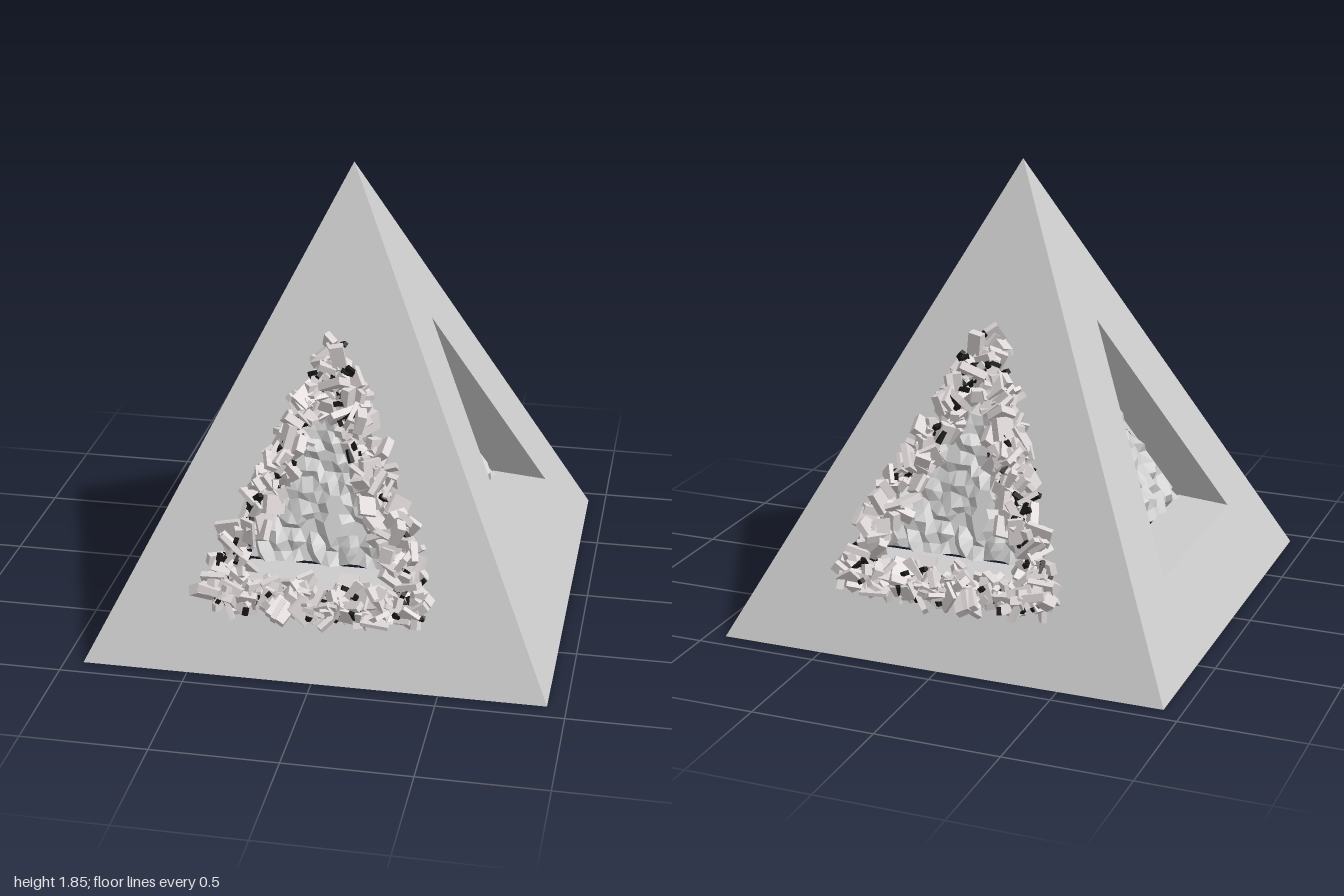
import * as THREE from 'three';
import { mergeGeometries } from 'three/addons/utils/BufferGeometryUtils.js';

const BASE = 0.925, HEIGHT = 1.85;
const HOLE = { half: 0.44, bottom: 0.32, top: 1.21 };   // opening in each face
const PANEL = { half: 0.485, bottom: 0.32, top: 1.29, inset: 0.235 }; // rough inner wall

const faceZ = y => BASE * (1 - y / HEIGHT);

function seeded(seed) {
  return () => {
    seed = (seed + 0x6d2b79f5) | 0;
    let t = Math.imul(seed ^ (seed >>> 15), 1 | seed);
    t = (t + Math.imul(t ^ (t >>> 7), 61 | t)) ^ t;
    return ((t ^ (t >>> 14)) >>> 0) / 4294967296;
  };
}

function material(color = 0xcccccc) {
  return new THREE.MeshStandardMaterial({ color, flatShading: true, side: THREE.DoubleSide });
}

function named(name, geometry, mat) {
  const mesh = new THREE.Mesh(geometry, mat);
  mesh.name = name;
  return mesh;
}

const triangle = t => [[-t.half, t.bottom], [t.half, t.bottom], [0, t.top]].map(p => new THREE.Vector2(...p));

// Sloping outer face with a triangular opening
function faceGeometry() {
  const shape = new THREE.Shape(triangle({ half: BASE, bottom: 0, top: HEIGHT }));
  shape.holes.push(new THREE.Path(triangle(HOLE).reverse()));
  const geo = new THREE.ShapeGeometry(shape);
  const p = geo.attributes.position;
  for (let i = 0; i < p.count; i++) p.setZ(i, faceZ(p.getY(i)));
  geo.computeVertexNormals();
  return geo;
}

// Three walls running from the opening back to the inner panel
function revealGeometry() {
  const outer = triangle(HOLE).map(v => [v.x, v.y, faceZ(v.y)]);
  const inner = triangle(PANEL).map(v => [v.x, v.y, faceZ(v.y) - PANEL.inset]);
  const pos = [];
  for (let i = 0; i < 3; i++) {
    const j = (i + 1) % 3;
    pos.push(...outer[i], ...outer[j], ...inner[j], ...outer[i], ...inner[j], ...inner[i]);
  }
  const geo = new THREE.BufferGeometry();
  geo.setAttribute('position', new THREE.Float32BufferAttribute(pos, 3));
  geo.computeVertexNormals();
  return geo;
}

// Mirrored, stepped rocky relief on a triangular lattice
function panelGeometry() {
  const N = 26, rand = seeded(11), rows = [];
  const step = (PANEL.top - PANEL.bottom) / N;
  for (let i = 0; i <= N; i++) {
    const row = [];
    for (let j = 0; j <= i; j++) {
      if (j > i / 2) { // mirror the left half
        const m = row[i - j];
        row.push([-m[0], m[1], m[2]]);
        continue;
      }
      const border = j === 0 || i === N;
      const jitter = border ? 0 : 0.5 * step;
      const u = (j - i / 2) * 2 * PANEL.half / N + (j * 2 === i ? 0 : (rand() - 0.5) * jitter);
      const y = PANEL.top - i * step + (rand() - 0.5) * jitter;
      const relief = Math.floor(rand() * 3) * 0.02 - 0.02;
      row.push([u, y, faceZ(y) - PANEL.inset + relief]);
    }
    rows.push(row);
  }
  const pos = [];
  for (let i = 0; i < N; i++) {
    for (let j = 0; j <= i; j++) {
      pos.push(...rows[i][j], ...rows[i + 1][j], ...rows[i + 1][j + 1]);
      if (j < i) pos.push(...rows[i][j], ...rows[i + 1][j + 1], ...rows[i][j + 1]);
    }
  }
  const geo = new THREE.BufferGeometry();
  geo.setAttribute('position', new THREE.Float32BufferAttribute(pos, 3));
  geo.computeVertexNormals();
  return geo;
}

// Broken slabs and small dark chips heaped around the opening; dir = +1 front, -1 back
function rubbleGeometries(dir) {
  const rand = seeded(5), between = (a, b) => a + (b - a) * rand();
  const corners = triangle({ half: 0.40, bottom: 0.32, top: 1.19 });
  const slabs = [], chips = [];
  const e = new THREE.Euler();
  for (let i = 0; i < 480; i++) {
    const side = i % 3, a = corners[side], b = corners[(side + 1) % 3];
    const t = rand(), chip = i % 10 >= 7;
    const spread = side === 0 ? 0.035 : 0.055;
    const x = a.x + (b.x - a.x) * t + between(-spread, spread);
    const y = a.y + (b.y - a.y) * t + between(-0.04, 0.04);
    const z = faceZ(y) + between(0, 0.14);
    const geo = chip
      ? new THREE.BoxGeometry(between(0.03, 0.055), 0.018, 0.018)
      : new THREE.BoxGeometry(between(0.05, 0.12), between(0.03, 0.09), between(0.012, 0.04));
    e.set(between(-1.6, 1.6), between(-1.2, 1.2), between(-3.1, 3.1));
    e.set(e.x * dir, e.y * dir, e.z);
    geo.applyMatrix4(new THREE.Matrix4().makeRotationFromEuler(e));
    geo.translate(x, y, z * dir);
    (chip ? chips : slabs).push(geo);
  }
  return { slabs: mergeGeometries(slabs), chips: mergeGeometries(chips) };
}

export function createModel() {
  const model = new THREE.Group();
  model.name = 'pyramid';
  const grey = material(), dark = material(0x161616), pale = material(0xddd6d6);

  // Four identical sides, open underneath
  const face = faceGeometry(), reveal = revealGeometry(), panel = panelGeometry();
  ['front', 'left', 'back', 'right'].forEach((label, k) => {
    const side = new THREE.Group();
    side.name = label + 'Side';
    side.add(named('outerFace', face, grey), named('openingWalls', reveal, grey), named('rockPanel', panel, grey));
    side.rotation.y = k * Math.PI / 2;
    model.add(side);
  });

  // Rubble frames on the front and back only
  for (const dir of [1, -1]) {
    const { slabs, chips } = rubbleGeometries(dir);
    const rubble = new THREE.Group();
    rubble.name = dir > 0 ? 'frontRubble' : 'backRubble';
    rubble.add(named('slabs', slabs, pale), named('chips', chips, dark));
    model.add(rubble);
  }
  return model;
}
